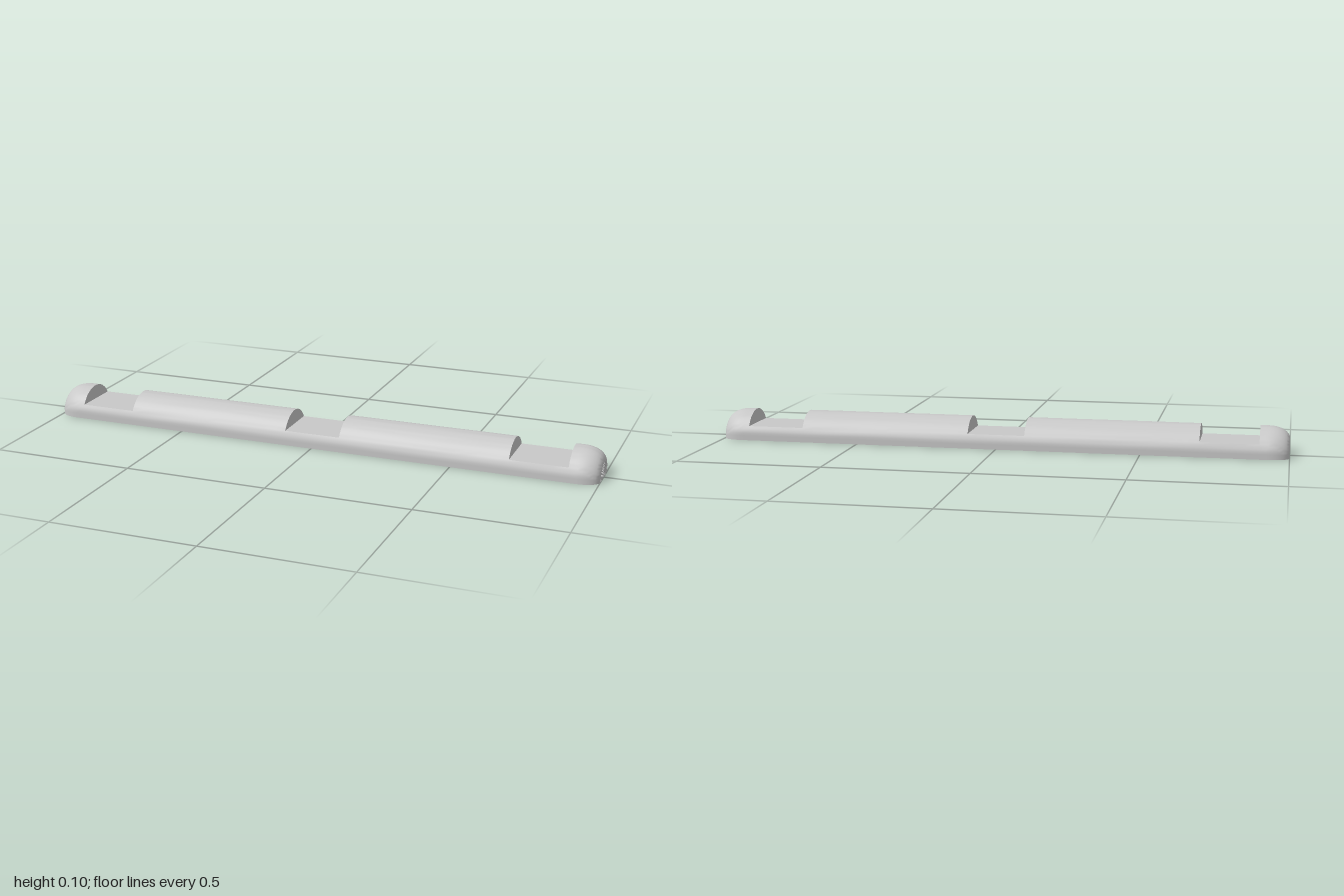
import * as THREE from 'three';
import { toCreasedNormals } from 'three/addons/utils/BufferGeometryUtils.js';

const RADIUS = 0.1, NOTCH_FLOOR = 0.05, SIDE_LIMIT = 0.96, SEGMENTS = 36;

// One end from the centre of the face outward: carved growth rings, then the rounded shoulder
function endStations() {
  const list = [{ x: 1, r: 0 }];
  for (const r of [0.01, 0.02, 0.03, 0.04, 0.05]) {
    list.push({ x: 1, r: r - 0.002 }, { x: 0.996, r: r - 0.001 }, { x: 0.996, r: r + 0.001 }, { x: 1, r: r + 0.002 });
  }
  for (let i = 0; i <= 8; i++) {
    const t = (i / 8) * Math.PI / 2;
    list.push({ x: 0.93 + 0.07 * Math.cos(t), r: 0.058 + (RADIUS - 0.058) * Math.sin(t) });
  }
  return list;
}

// Full-radius stretch from x0 to x1, cut flat at the given height
function stretch(x0, x1, top, steps) {
  return Array.from({ length: steps + 1 }, (_, i) => ({ x: x0 + (x1 - x0) * i / steps, r: RADIUS, top }));
}

// Half-round section; the lowest part of each side is planed upright
function section({ x, r, top = 1 }) {
  const points = [];
  for (let j = 0; j <= SEGMENTS; j++) {
    const a = Math.PI * j / SEGMENTS;
    // faint lengthwise wood grain
    const grain = Math.abs(x) < 0.93 ? 0.005 * Math.sin(a * 17 + 2 * Math.sin(x * 5)) * Math.sin(x * 7 + a * 5) : 0;
    const rr = r * (1 + grain);
    const z = THREE.MathUtils.clamp(Math.cos(a) * rr, -SIDE_LIMIT * r, SIDE_LIMIT * r);
    points.push(new THREE.Vector3(x, j === SEGMENTS ? 0 : Math.min(Math.sin(a) * rr, top), z));
  }
  return points;
}

function logGeometry() {
  const end = endStations();
  const stations = [
    ...end.map(s => ({ ...s, x: -s.x })),
    ...stretch(-0.92, -0.9, 1, 1),
    ...stretch(-0.9, -0.7, NOTCH_FLOOR, 4),
    ...stretch(-0.7, -0.1, 1, 16),
    ...stretch(-0.1, 0.1, NOTCH_FLOOR, 4),
    ...stretch(0.1, 0.7, 1, 16),
    ...stretch(0.7, 0.9, NOTCH_FLOOR, 4),
    ...stretch(0.9, 0.92, 1, 1),
    ...end.slice().reverse(),
  ];
  const rings = stations.map(section);
  const positions = [];
  const triangle = new THREE.Triangle();
  const add = (a, b, c) => {
    if (triangle.set(a, b, c).getArea() > 1e-9) positions.push(...a, ...b, ...c);
  };
  // Skin neighbouring sections, including the flat underside
  for (let i = 0; i < rings.length - 1; i++) {
    for (let j = 0; j <= SEGMENTS; j++) {
      const k = (j + 1) % (SEGMENTS + 1);
      add(rings[i][j], rings[i + 1][j], rings[i + 1][k]);
      add(rings[i][j], rings[i + 1][k], rings[i][k]);
    }
  }
  const geometry = new THREE.BufferGeometry();
  geometry.setAttribute('position', new THREE.Float32BufferAttribute(positions, 3));
  return toCreasedNormals(geometry, 0.6);
}

export function createModel() {
  const wood = new THREE.MeshStandardMaterial({ color: 0xc8c8c8 });
  wood.name = 'greyWood';
  const log = new THREE.Mesh(logGeometry(), wood);
  log.name = 'notchedHalfLog';
  const group = new THREE.Group();
  group.name = 'notchedLog';
  group.add(log);
  return group;
}
